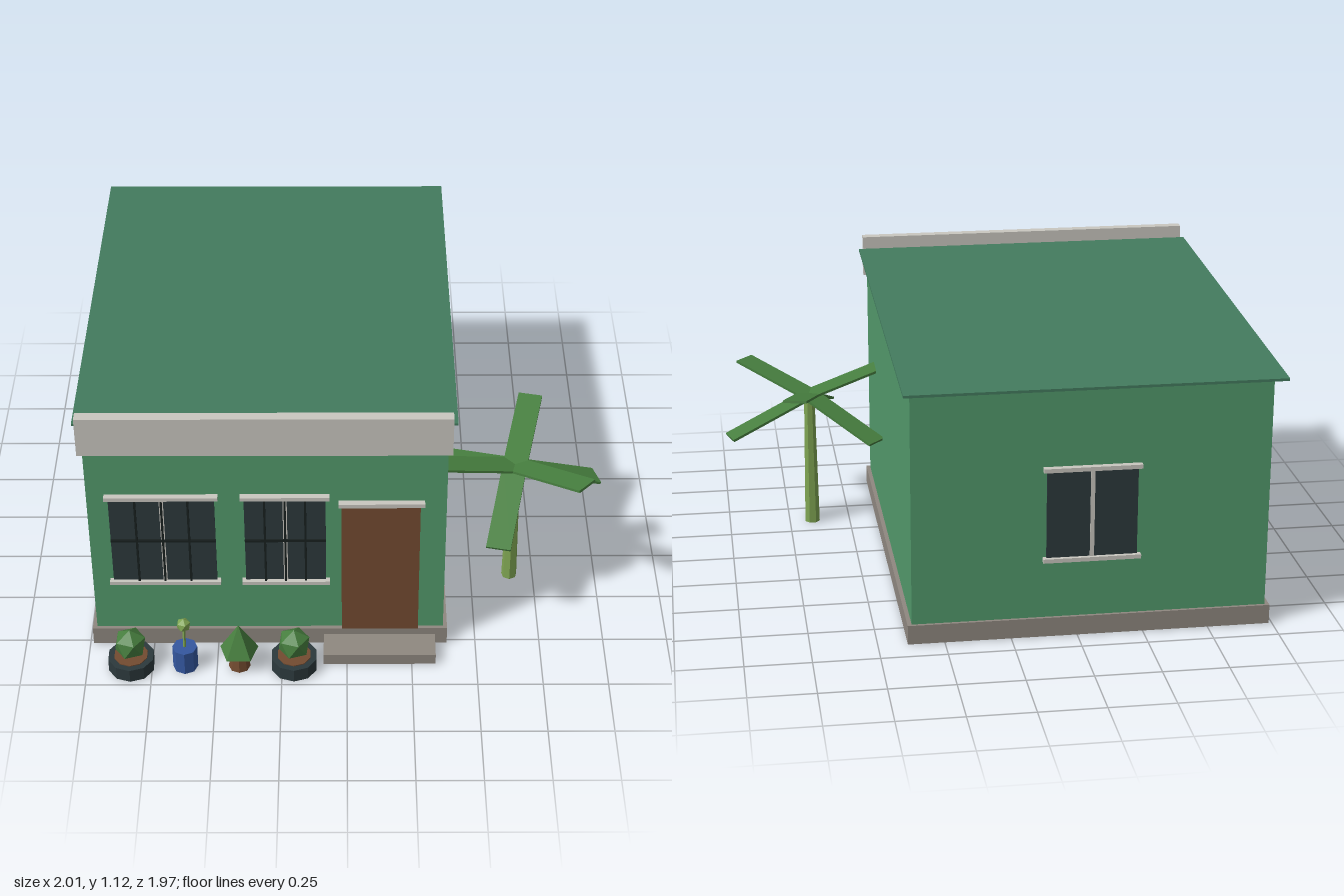
import * as THREE from 'three';

const mat = (name, color) => {
  const m = new THREE.MeshStandardMaterial({ color, flatShading: true });
  m.name = name;
  return m;
};

export function createModel() {
  const house = new THREE.Group();
  house.name = 'house';

  const wall = mat('wall green', 0x52996b);
  const roofGreen = mat('roof green', 0x437b5e);
  const trim = mat('trim grey', 0xc9c7c0);
  const stone = mat('plinth stone', 0x8f8880);
  const glass = mat('dark glass', 0x2c393c);
  const iron = mat('black iron', 0x18201f);
  const brown = mat('door brown', 0x734b30);
  const leaf = mat('leaf green', 0x477f3f);
  const stem = mat('stem green', 0x7fa552);
  const blue = mat('pot blue', 0x34579f);

  const add = (parent, name, geometry, material, x = 0, y = 0, z = 0) => {
    const mesh = new THREE.Mesh(geometry, material);
    mesh.name = name;
    mesh.position.set(x, y, z);
    parent.add(mesh);
    return mesh;
  };
  // Box given by its limits on each axis
  const block = (parent, name, material, x0, x1, y0, y1, z0, z1) =>
    add(parent, name, new THREE.BoxGeometry(x1 - x0, y1 - y0, z1 - z0), material,
      (x0 + x1) / 2, (y0 + y1) / 2, (z0 + z1) / 2);
  // Side profile of [z, y] points, swept from x0 to x1
  const sweep = (name, material, points, x0, x1) => {
    const shape = new THREE.Shape(points.map(([z, y]) => new THREE.Vector2(z, y)));
    const g = new THREE.ExtrudeGeometry(shape, { depth: x1 - x0, bevelEnabled: false });
    g.rotateY(-Math.PI / 2).translate(x1, 0, 0);
    add(house, name, g, material);
  };

  // Shell: walls, sloping roof, plinth, parapet, step
  sweep('walls', wall, [[-0.89, 0], [0.753, 0], [0.753, 1.06], [-0.89, 1.003]], -0.97, 0.373);
  sweep('roof', roofGreen, [[-0.983, 0.999], [0.753, 1.058], [0.753, 1.068], [-0.983, 1.009]], -1, 0.405);
  block(house, 'plinth', stone, -0.987, 0.389, 0.002, 0.077, -0.902, 0.768);
  block(house, 'parapet', trim, -0.985, 0.387, 0.952, 1.118, 0.754, 0.795);
  block(house, 'step', stone, -0.09, 0.342, 0, 0.046, 0.76, 0.886);

  // Door with lintel
  block(house, 'door', brown, -0.02, 0.275, 0.078, 0.69, 0.75, 0.77);
  block(house, 'doorLintel', trim, -0.032, 0.291, 0.69, 0.707, 0.75, 0.778);

  // Window centred on its own origin, facing +z
  const windowUnit = (name, w, h, barred) => {
    const g = new THREE.Group();
    g.name = name;
    house.add(g);
    const a = w / 2, b = h / 2;
    block(g, 'pane', glass, -a, a, -b, b, 0, 0.009);
    block(g, 'mullion', trim, -0.008, 0.008, -b, b, 0, 0.012);
    for (const s of [-1, 1]) {
      const y = s * (b + 0.006);
      block(g, s < 0 ? 'sill' : 'lintel', trim, -a - 0.014, a + 0.014, y - 0.008, y + 0.008, -0.002, 0.024);
    }
    if (barred) {
      for (const k of [-1, 0, 1]) {
        const x = k * w / 4;
        block(g, 'bar', iron, x - 0.004, x + 0.004, -b, b, 0.01, 0.018);
      }
      block(g, 'crossBar', iron, -a, a, -0.005, 0.005, 0.01, 0.018);
    }
    return g;
  };
  windowUnit('wideFrontWindow', 0.395, 0.4, true).position.set(-0.692, 0.524, 0.753);
  windowUnit('narrowFrontWindow', 0.305, 0.4, true).position.set(-0.232, 0.524, 0.753);
  const sideWindow = windowUnit('sideWindow', 0.33, 0.345, true);
  sideWindow.position.set(-0.97, 0.49, 0.185);
  sideWindow.rotation.y = -Math.PI / 2;
  const backWindow = windowUnit('backWindow', 0.34, 0.345, false);
  backWindow.position.set(-0.3, 0.49, -0.89);
  backWindow.rotation.y = Math.PI;

  // Potted plants along the front
  const potZ = 0.893;
  const tilt = -Math.atan(2 / (1 + Math.sqrt(5))); // sets one corner straight up
  const ball = (r) => new THREE.IcosahedronGeometry(r, 0).rotateZ(tilt);
  for (const x of [-0.83, -0.203]) {
    add(house, 'roundPot', new THREE.CylinderGeometry(0.09, 0.09, 0.056, 10), glass, x, 0.028, potZ);
    add(house, 'soil', new THREE.CylinderGeometry(0.066, 0.066, 0.006, 10), brown, x, 0.057, potZ);
    add(house, 'bush', ball(0.066), leaf, x, 0.117, potZ);
  }
  add(house, 'bluePot', new THREE.CylinderGeometry(0.048, 0.048, 0.1, 8), blue, -0.622, 0.05, potZ);
  add(house, 'topiaryStem', new THREE.CylinderGeometry(0.006, 0.006, 0.11, 5), stem, -0.622, 0.145, potZ);
  add(house, 'topiaryBall', ball(0.029), stem, -0.622, 0.212, potZ);
  add(house, 'brownPot', new THREE.CylinderGeometry(0.03, 0.042, 0.08, 8), brown, -0.414, 0.04, potZ);
  add(house, 'coneShrub', new THREE.ConeGeometry(0.077, 0.13, 5), leaf, -0.414, 0.144, potZ)
    .rotation.y = Math.PI;

  // Palm: trunk and six flat fronds, alternately raised and drooping
  const palm = new THREE.Group();
  palm.name = 'palm';
  palm.position.set(0.656, 0, 0.363);
  house.add(palm);
  add(palm, 'palmTrunk', new THREE.CylinderGeometry(0.022, 0.031, 0.56, 7), stem, 0, 0.28, 0);
  for (let i = 0; i < 6; i++) {
    const rise = i % 2 ? -0.137 : 0.088;
    const g = new THREE.BoxGeometry(Math.hypot(0.35, rise), 0.01, 0.095);
    g.translate(Math.hypot(0.35, rise) / 2, 0, 0).rotateZ(Math.atan2(rise, 0.35));
    add(palm, 'frond', g, leaf, 0, 0.563, 0).rotation.y = THREE.MathUtils.degToRad(77 - 60 * i);
  }

  return house;
}
